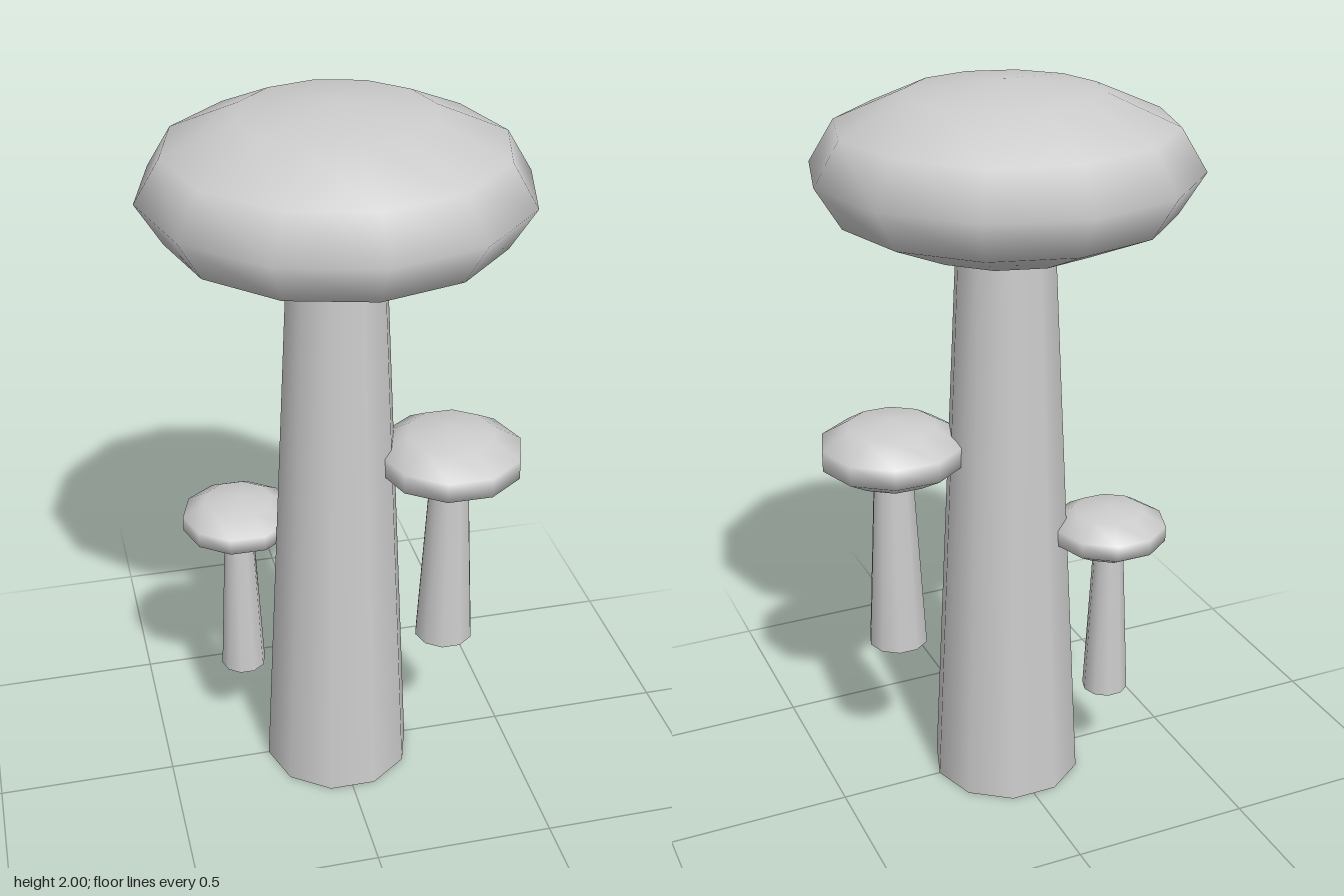
import * as THREE from 'three';

const grey = new THREE.MeshStandardMaterial({ color: 0xcccccc, side: THREE.DoubleSide });
grey.name = 'pale grey';

// One mushroom: a tapered, open-ended ten-sided stem under a flattened cap
function mushroom(name, { x, z, base, stemBottom, stemTop, capY, capRadius, capHalf, sides, rings }) {
  const group = new THREE.Group();
  group.name = name;
  group.position.set(x, 0, z);

  // stem runs up to the middle of the cap, with a corner pointing along x
  const height = capY - base;
  const stem = new THREE.Mesh(
    new THREE.CylinderGeometry(stemTop, stemBottom, height, 10, 1, true).rotateY(Math.PI / 2),
    grey
  );
  stem.name = 'stem';
  stem.position.y = base + height / 2;

  // smooth flattened cap
  const cap = new THREE.Mesh(
    new THREE.SphereGeometry(1, sides, rings).scale(capRadius, capHalf, capRadius),
    grey
  );
  cap.name = 'cap';
  cap.position.y = capY;

  group.add(stem, cap);
  return group;
}

export function createModel() {
  const model = new THREE.Group();
  model.name = 'mushroomCluster';
  model.add(
    mushroom('mainMushroom', {
      x: 0, z: 0, base: 0, stemBottom: 0.21, stemTop: 0.122,
      capY: 1.779, capRadius: 0.504, capHalf: 0.221, sides: 12, rings: 6,
    }),
    mushroom('leftMushroom', {
      x: 0.294, z: 0.084, base: 0.43, stemBottom: 0.083, stemTop: 0.051,
      capY: 1.017, capRadius: 0.207, capHalf: 0.09, sides: 10, rings: 5,
    }),
    mushroom('rightMushroom', {
      x: -0.255, z: -0.128, base: 0.26, stemBottom: 0.064, stemTop: 0.039,
      capY: 0.766, capRadius: 0.165, capHalf: 0.071, sides: 10, rings: 5,
    })
  );
  return model;
}
